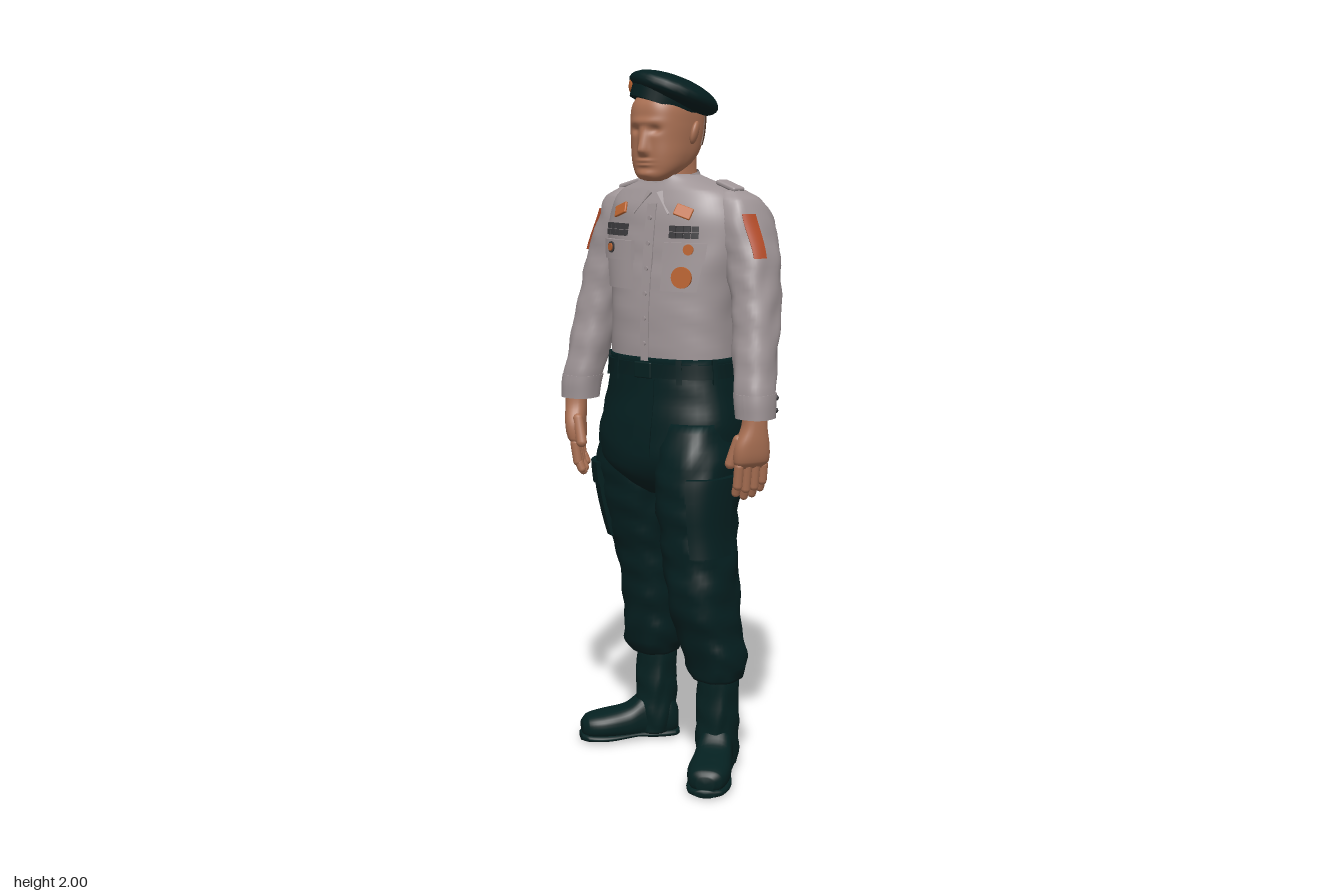
import * as THREE from 'three';
import { RoundedBoxGeometry } from 'three/addons/geometries/RoundedBoxGeometry.js';

const paint = (name, color) => Object.assign(new THREE.MeshStandardMaterial({ color }), { name });
const M = {
  shirt: paint('shirt grey', 0xa09698), green: paint('trouser green', 0x041f20),
  beret: paint('beret green', 0x051e1f), skin: paint('skin', 0xab7154),
  hair: paint('cropped hair', 0x694632), orange: paint('badge orange', 0xbf6632),
  red: paint('patch red', 0xb44c28), dark: paint('ribbon dark', 0x3c3b3e), boot: paint('boot green', 0x052121),
};
M.shirt.side = THREE.DoubleSide;
const N = 2.5; // roundness exponent of every cross-section
const pw = (v) => Math.sign(v) * Math.abs(v) ** (2 / N);
const bump = (d, w) => Math.exp(-((d / w) ** 2));
const { clamp } = THREE.MathUtils;

// smooth interpolation of sections [y, cx, cz, rx, rz], listed from the top down
function section(rows, y) {
  let i = 0;
  while (i < rows.length - 2 && y < rows[i + 1][0]) i++;
  const a = rows[i], b = rows[i + 1], p = rows[Math.max(i - 1, 0)], q = rows[Math.min(i + 2, rows.length - 1)];
  const h = b[0] - a[0], t = clamp((y - a[0]) / h, 0, 1), t2 = t * t, t3 = t2 * t;
  return [1, 2, 3, 4].map((k) => {
    const m0 = (b[k] - p[k]) / (b[0] - p[0]), m1 = (q[k] - a[k]) / (q[0] - a[0]);
    return (2 * t3 - 3 * t2 + 1) * a[k] + (t3 - 2 * t2 + t) * h * m0 + (3 * t2 - 2 * t3) * b[k] + (t3 - t2) * h * m1;
  });
}
// point on a lofted surface; angle 0 faces +z and grows toward +x
function surface(rows, a, y, off = 0) {
  const [cx, cz, rx, rz] = section(rows, y);
  return [cx + (rx + off) * pw(Math.sin(a)), y, cz + (rz + off) * pw(Math.cos(a))];
}
// closed body through the sections, with optional cloth folds
function loft(rows, fold = 0, sides = 40, steps = 5) {
  const pos = [], idx = [], ys = [];
  rows.forEach((r, i) => {
    const n = rows[i + 1];
    for (let k = 0; k < (n ? steps : 1); k++) ys.push(n ? r[0] + (n[0] - r[0]) * k / steps : r[0]);
  });
  const cap = (r) => { for (let j = 0; j < sides; j++) pos.push(r[1], r[0], r[2]); };
  cap(rows[0]);
  for (const y of ys) for (let j = 0; j < sides; j++) {
    const a = j / sides * Math.PI * 2;
    pos.push(...surface(rows, a, y, fold * Math.sin(y * 62 + 2.2 * Math.sin(a * 2 + y * 9)) * Math.sin(a * 3 + y * 14)));
  }
  cap(rows[rows.length - 1]);
  for (let i = 0; i < ys.length + 1; i++) for (let j = 0; j < sides; j++) {
    const k = (j + 1) % sides, p = i * sides, q = p + sides;
    idx.push(p + j, q + j, p + k, p + k, q + j, q + k);
  }
  const g = new THREE.BufferGeometry();
  g.setAttribute('position', new THREE.Float32BufferAttribute(pos, 3));
  g.setIndex(idx);
  g.computeVertexNormals();
  return g;
}
// push vertices along z by a rule
function sculpt(g, rule) {
  const p = g.attributes.position;
  for (let i = 0; i < p.count; i++) p.setZ(i, p.getZ(i) + rule(p.getX(i), p.getY(i), p.getZ(i)));
  g.computeVertexNormals();
  return g;
}
// plate wrapped on a loft between two angles and two heights
function panel(rows, a0, a1, y0, y1, off, inner = -0.004) {
  const g = new THREE.BoxGeometry(1, 1, 1, Math.ceil(Math.abs(a1 - a0) * 7) + 2, 6, 1), p = g.attributes.position;
  for (let i = 0; i < p.count; i++) {
    const a = a0 + (p.getX(i) + 0.5) * (a1 - a0), y = y0 + (p.getY(i) + 0.5) * (y1 - y0);
    p.setXYZ(i, ...surface(rows, a, y, p.getZ(i) > 0 ? off : inner));
  }
  g.computeVertexNormals();
  return g;
}

const torso = [
  [1.71, -0.01, -0.047, 0.068, 0.07], [1.69, -0.007, -0.057, 0.11, 0.085], [1.665, 0, -0.066, 0.18, 0.105],
  [1.62, 0, -0.077, 0.215, 0.135], [1.56, 0, -0.081, 0.23, 0.148], [1.48, 0, -0.074, 0.222, 0.15],
  [1.38, 0, -0.06, 0.2, 0.148], [1.28, 0, -0.045, 0.19, 0.138], [1.17, 0, -0.04, 0.19, 0.132]];
const hips = [
  [1.2, 0, -0.04, 0.192, 0.136], [1.13, 0, -0.04, 0.198, 0.138], [1.05, 0, -0.042, 0.215, 0.15],
  [0.97, -0.005, -0.04, 0.226, 0.157], [0.89, -0.005, -0.03, 0.21, 0.145], [0.83, 0, -0.025, 0.13, 0.11], [0.8, 0, -0.02, 0.05, 0.07]];
const legs = {
  left: [[1.02, 0.11, -0.03, 0.095, 0.13], [0.9, 0.125, 0.005, 0.108, 0.132], [0.8, 0.128, 0.02, 0.106, 0.125], [0.7, 0.135, 0.025, 0.097, 0.114],
    [0.6, 0.147, 0.028, 0.096, 0.108], [0.5, 0.16, 0.03, 0.09, 0.104], [0.4, 0.17, 0.015, 0.088, 0.09], [0.315, 0.185, 0.003, 0.085, 0.08], [0.275, 0.19, 0.005, 0.066, 0.067]],
  right: [[1.02, -0.11, -0.05, 0.1, 0.135], [0.9, -0.128, -0.045, 0.112, 0.132], [0.8, -0.126, -0.045, 0.112, 0.122], [0.7, -0.123, -0.05, 0.1, 0.106],
    [0.6, -0.118, -0.07, 0.088, 0.1], [0.5, -0.112, -0.085, 0.085, 0.097], [0.4, -0.115, -0.095, 0.082, 0.09], [0.315, -0.122, -0.103, 0.085, 0.086], [0.275, -0.12, -0.107, 0.064, 0.066]],
};
const armRows = [
  [1.668, 0.178, -0.072, 0.025, 0.035], [1.64, 0.188, -0.082, 0.06, 0.072], [1.58, 0.2, -0.092, 0.075, 0.095], [1.5, 0.235, -0.08, 0.072, 0.083],
  [1.4, 0.262, -0.065, 0.064, 0.076], [1.3, 0.281, -0.045, 0.06, 0.068], [1.2, 0.293, -0.02, 0.057, 0.06], [1.1, 0.308, 0, 0.053, 0.054], [1.05, 0.312, 0.003, 0.05, 0.05]];
const headRows = [
  [1.94, -0.02, -0.04, 0.06, 0.09], [1.9, -0.02, -0.037, 0.083, 0.112], [1.85, -0.02, -0.035, 0.088, 0.114], [1.8, -0.02, -0.03, 0.086, 0.107],
  [1.76, -0.02, -0.018, 0.081, 0.094], [1.725, -0.02, 0.004, 0.068, 0.068], [1.7, -0.02, 0.025, 0.045, 0.042], [1.692, -0.02, 0.027, 0.025, 0.025]];
// nose, brow, eye sockets, mouth and chin
function face(x, y, z) {
  if (z < 0) return 0;
  const d = x + 0.02;
  return 0.026 * bump(d, 0.014) * clamp((1.845 - y) / 0.065, 0, 1) * clamp((y - 1.758) / 0.015, 0, 1)
    + 0.006 * bump(d, 0.05) * bump(y - 1.855, 0.011) - 0.01 * bump(Math.abs(d) - 0.034, 0.016) * bump(y - 1.833, 0.011)
    + 0.006 * bump(d, 0.024) * (bump(y - 1.748, 0.005) + bump(y - 1.736, 0.005)) + 0.008 * bump(d, 0.028) * bump(y - 1.711, 0.013);
}
// spine hollow between the shoulder blades
const spine = (x, y, z) => (z > -0.1 ? 0 : bump(y - 1.47, 0.14) * (0.014 * bump(x, 0.05) - 0.01 * bump(Math.abs(x) - 0.11, 0.06)));

export function createModel() {
  const root = new THREE.Group();
  const add = (name, geo, mat, p = [0, 0, 0], r = [0, 0, 0], s = [1, 1, 1], parent = root) => {
    const m = new THREE.Mesh(geo, mat);
    m.name = name; m.position.set(...p); m.rotation.set(...r); m.scale.set(...s);
    parent.add(m);
  };
  const group = (name, p, r) => {
    const g = new THREE.Group();
    g.name = name; g.position.set(...p); g.rotation.set(...r);
    root.add(g);
    return g;
  };
  const ball = new THREE.SphereGeometry(1, 24, 16);
  const chest = (x) => Math.asin(Math.sign(x) * Math.abs(x / 0.225) ** (N / 2)); // x on the shirt front to angle
  const onChest = (name, x0, x1, y0, y1, off, mat) => add(name, panel(torso, chest(x0), chest(x1), y0, y1, off), mat);
  const disc = (name, x, y, r, mat, off) => add(name, new THREE.CylinderGeometry(r, r, 0.008, 20), mat, surface(torso, chest(x), y, off), [Math.PI / 2, 0, -x * 2.5]);

  // head
  add('neck', loft([[1.8, -0.02, -0.055, 0.062, 0.07], [1.72, -0.015, -0.05, 0.062, 0.068], [1.65, -0.01, -0.05, 0.07, 0.074]]), M.skin);
  add('head', sculpt(loft(headRows, 0, 112, 11), face), M.skin);
  add('hair', panel(headRows, 2.05, Math.PI * 2 - 2.05, 1.79, 1.91, 0.003), M.hair);
  for (const s of [-1, 1]) add('ear', ball, M.skin, [-0.02 + s * 0.095, 1.825, -0.032], [-0.15, s * 0.4, s * -0.15], [0.011, 0.033, 0.02]);

  // tilted beret with band and badge
  const cap = group('beret', [-0.01, 1.934, -0.05], [-0.28, 0, -0.22]);
  add('beretCrown', ball, M.beret, [0, 0, 0], [0, 0, 0], [0.126, 0.047, 0.142], cap);
  add('beretBand', new THREE.CylinderGeometry(0.1, 0.094, 0.045, 40), M.beret, [-0.008, -0.028, 0.008], [0, 0, 0], [1, 1, 1.24], cap);
  add('beretBadge', ball, M.orange, [-0.077, -0.019, 0.095], [0.3, -0.72, 0], [0.02, 0.022, 0.008], cap);

  // shirt body, placket and collar
  add('shirt', sculpt(loft(torso, 0.0015, 64), spine), M.shirt);
  onChest('placket', -0.022, 0.01, 1.19, 1.63, 0.004, M.shirt);
  for (let i = 0; i < 6; i++) disc('shirtButton', -0.006, 1.24 + i * 0.07, 0.006, M.shirt, 0.004);
  add('collarStand', new THREE.CylinderGeometry(0.074, 0.09, 0.045, 32, 1, true), M.shirt, [-0.012, 1.69, -0.05], [0.16, 0, 0], [1, 1, 1.02]);
  for (const s of [-1, 1]) {
    const wing = new THREE.Shape([[0.008, 0.06], [0.085, 0.1], [0.1, 0.05], [0.06, 0]].map(([x, y]) => new THREE.Vector2(s * x, y)));
    add('collarWing', new THREE.ExtrudeGeometry(wing, { depth: 0.008, bevelEnabled: false }), M.shirt, [-0.008, 1.605, 0.07], [-0.48, s * 0.28, 0]);
    add('collarTab', new RoundedBoxGeometry(0.052, 0.034, 0.008, 2, 0.003), M.orange, [s * 0.11 - 0.008, 1.61, 0.056], [-0.4, s * 0.35, s * -0.2]);
    add('epaulette', new RoundedBoxGeometry(0.075, 0.014, 0.045, 3, 0.006), M.shirt, [s * 0.172, 1.679, -0.068], [0, s * -0.15, s * -0.3]);

    // chest pocket, ribbons and medals
    const c = s * 0.112 - 0.005, lo = c - 0.056, hi = c + 0.056, rib = s * 0.115 - 0.012;
    onChest('chestPocket', lo, hi, 1.39, 1.51, 0.008, M.shirt);
    onChest('pocketFlap', lo - 0.003, hi + 0.003, 1.47, 1.525, 0.013, M.shirt);
    for (let row = 0; row < 2; row++) for (let i = -2; i < 2; i++) {
      const x = rib + i * 0.021;
      onChest('ribbon', x + 0.001, x + 0.02, 1.537 + row * 0.018, 1.553 + row * 0.018, 0.01, M.dark);
    }
  }
  disc('leftSmallMedal', 0.122, 1.507, 0.015, M.orange, 0.013);
  disc('rightSmallMedal', -0.137, 1.503, 0.016, M.dark, 0.012);
  disc('rightSmallMedalCentre', -0.137, 1.503, 0.011, M.orange, 0.015);
  disc('largeMedal', 0.115, 1.43, 0.03, M.orange, 0.012);

  // sleeves and hands
  for (const s of [-1, 1]) {
    const rows = armRows.map(([y, x, ...r]) => [y, s * x - (s < 0 ? 0.006 : 0), ...r]);
    add('sleeve', loft(rows, 0.003), M.shirt);
    add('cuff', panel(rows, 0, Math.PI * 2, 1.047, 1.115, 0.003), M.shirt);
    for (const y of [1.065, 1.1]) add('cuffButton', ball, M.dark, surface(rows, s * 2.5, y, 0.004), [0, 0, 0], [0.008, 0.008, 0.008]);
    add('sleevePatch', panel(rows, s * 1.0 - 0.27, s * 1.0 + 0.27, 1.485, 1.605, 0.005), M.red);
    const hand = group('hand', [s * 0.322, 1.055, 0.018], [0, s * -0.5, 0]);
    add('palm', loft([[0.02, 0, 0, 0.03, 0.033], [-0.03, 0, 0.003, 0.031, 0.036], [-0.08, 0, 0.01, 0.03, 0.051], [-0.125, s * -0.004, 0.01, 0.026, 0.053], [-0.145, s * -0.006, 0.01, 0.012, 0.042]], 0, 24), M.skin, [0, 0, 0], [0, 0, 0], [1, 1, 1], hand);
    for (let i = 0; i < 4; i++) {
      const z = -0.028 + i * 0.025, len = [0.045, 0.06, 0.065, 0.055][i];
      add('finger', new THREE.CapsuleGeometry(0.014, len, 4, 10), M.skin, [s * -0.008, -0.14 - len / 2, z], [0, 0, s * -0.15], [1, 1, 1], hand);
      add('fingerTip', new THREE.CapsuleGeometry(0.0125, 0.02, 4, 10), M.skin, [s * -0.02, -0.153 - len, z], [0, 0, s * -0.4], [1, 1, 1], hand);
    }
    add('thumb', new THREE.CapsuleGeometry(0.016, 0.07, 4, 10), M.skin, [s * -0.02, -0.1, 0.054], [-0.25, 0, s * -0.2], [1, 1, 1], hand);
  }

  // trousers with belt, loops and pockets
  add('trouserSeat', loft(hips, 0.002), M.green);
  add('belt', panel(hips, 0, Math.PI * 2, 1.145, 1.185, 0.005), M.beret);
  for (const a of [0.5, 1.2, 2.3, 2.9]) for (const s of [-1, 1]) add('beltLoop', panel(hips, s * a - 0.05, s * a + 0.05, 1.13, 1.2, 0.008), M.green);
  add('buckle', new RoundedBoxGeometry(0.06, 0.046, 0.012, 2, 0.004), M.boot, [-0.005, 1.165, 0.101]);
  add('fly', panel(hips, -0.06, 0.1, 0.92, 1.14, 0.003), M.green);
  for (const s of [-1, 1]) {
    const back = Math.PI + s * 0.62;
    add('backPocket', panel(hips, back - 0.3, back + 0.3, 0.95, 1.05, 0.004), M.green);
    add('backPocketFlap', panel(hips, back - 0.33, back + 0.33, 1.02, 1.06, 0.008), M.green);
  }

  // trouser legs, cargo pockets and boots
  for (const [side, s, x, z, turn] of [['left', 1, 0.195, 0.012, 0.47], ['right', -1, -0.12, -0.11, -0.72]]) {
    const rows = legs[side], mid = s * 0.98;
    add(side + 'TrouserLeg', loft(rows, 0.0045), M.green);
    add(side + 'CargoPocket', panel(rows, mid - 0.6, mid + 0.6, 0.65, 0.85, 0.011), M.green);
    add(side + 'CargoFlap', panel(rows, mid - 0.63, mid + 0.63, 0.81, 0.875, 0.016), M.green);
    add(side + 'BootShaft', loft([[0.3, x, z, 0.054, 0.058], [0.2, x, z, 0.056, 0.06], [0.12, x, z, 0.056, 0.062], [0.05, x, z, 0.054, 0.064], [0.02, x, z, 0.05, 0.06]], 0.003), M.boot);
    const foot = group(side + 'Boot', [x, 0, z], [0, turn, 0]);
    // sections run from toe to heel; the third value is minus the height
    const shoe = loft([[0.232, 0, -0.035, 0.024, 0.02], [0.213, 0, -0.038, 0.048, 0.033], [0.16, 0, -0.042, 0.061, 0.04], [0.09, 0, -0.048, 0.056, 0.05],
      [0.04, 0, -0.065, 0.05, 0.07], [-0.03, 0, -0.065, 0.05, 0.07], [-0.055, 0, -0.055, 0.042, 0.05], [-0.064, 0, -0.05, 0.025, 0.035]], 0, 32);
    const sole = loft([[0.236, 0, -0.013, 0.027, 0.011], [0.216, 0, -0.013, 0.051, 0.013], [0.15, 0, -0.013, 0.063, 0.013], [0.06, 0, -0.016, 0.048, 0.01],
      [0.02, 0, -0.013, 0.048, 0.013], [-0.05, 0, -0.013, 0.046, 0.013], [-0.067, 0, -0.013, 0.028, 0.012]], 0, 32);
    add('upper', shoe.rotateX(Math.PI / 2), M.boot, [0, 0.005, 0], [0, 0, 0], [1, 1, 1], foot);
    add('sole', sole.rotateX(Math.PI / 2), M.boot, [0, 0, 0], [0, 0, 0], [1, 1, 1], foot);
  }
  return root;
}
